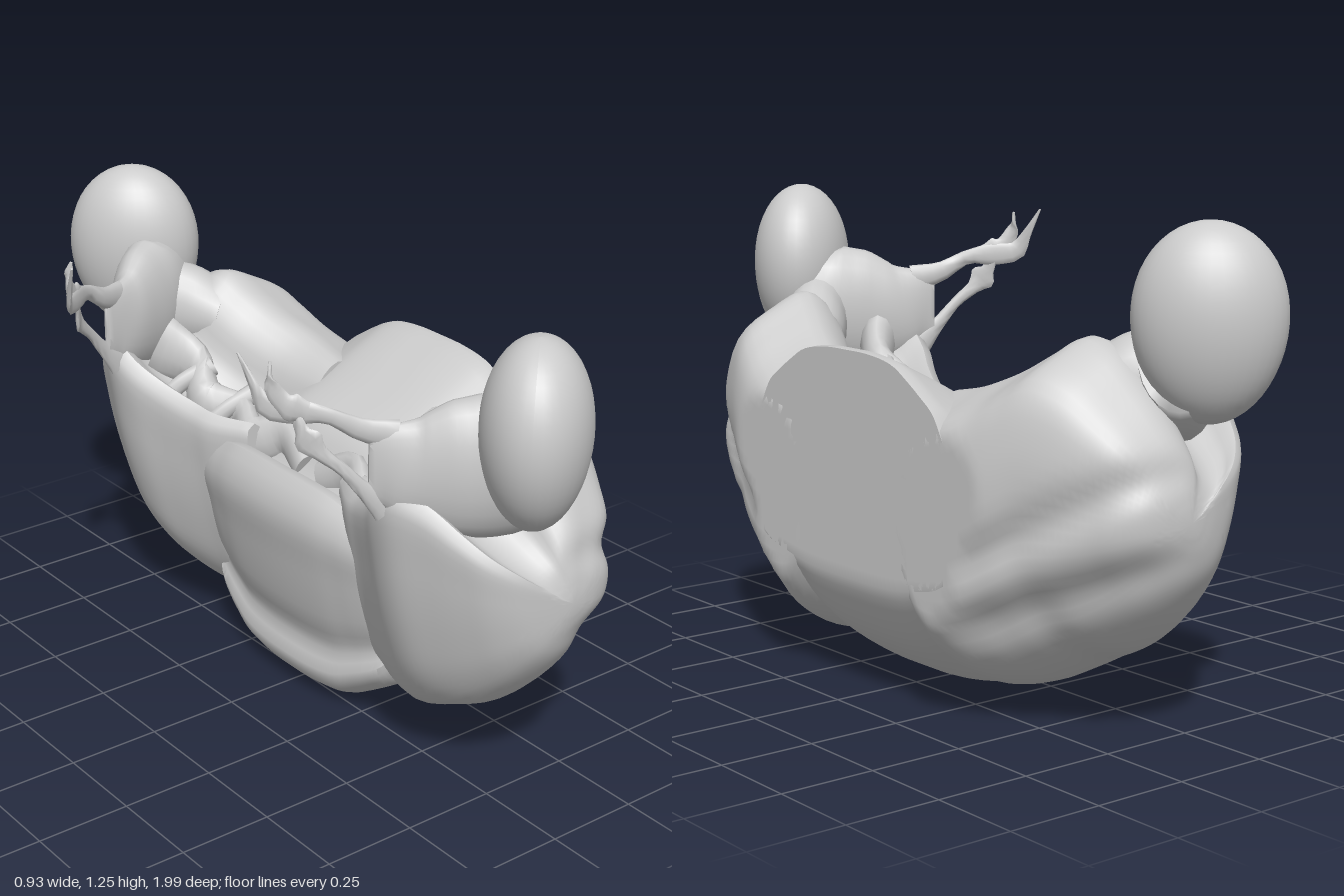
import * as THREE from 'three';
import { toCreasedNormals } from 'three/addons/utils/BufferGeometryUtils.js';

const FLAT_X = 0.46; // plane of the flat cut face
const V = (x, y, z) => new THREE.Vector3(x, y, z);
const material = new THREE.MeshStandardMaterial({ color: 0xcccccc, side: THREE.DoubleSide });

// Closed skin through a list of equally long rings, with capped ends
function loft(rings, crease = 0.7) {
  const n = rings[0].length, pos = [], idx = [];
  rings.forEach(r => r.forEach(p => pos.push(p.x, p.y, p.z)));
  for (let i = 0; i < rings.length - 1; i++)
    for (let j = 0; j < n; j++) {
      const a = i * n + j, b = i * n + (j + 1) % n;
      idx.push(a, b, a + n, b, b + n, a + n);
    }
  [0, rings.length - 1].forEach((k, end) => {
    const c = rings[k].reduce((s, p) => s.add(p), V(0, 0, 0)).divideScalar(n);
    const m = pos.length / 3;
    pos.push(c.x, c.y, c.z);
    for (let j = 0; j < n; j++) {
      const a = k * n + j, b = k * n + (j + 1) % n;
      idx.push(...(end ? [a, b, m] : [b, a, m]));
    }
  });
  // Turn the faces outward if the enclosed volume is negative
  const at = i => V(pos[3 * i], pos[3 * i + 1], pos[3 * i + 2]);
  let vol = 0;
  for (let i = 0; i < idx.length; i += 3) vol += at(idx[i]).dot(at(idx[i + 1]).cross(at(idx[i + 2])));
  if (vol < 0) idx.reverse();
  const g = new THREE.BufferGeometry();
  g.setAttribute('position', new THREE.Float32BufferAttribute(pos, 3));
  g.setIndex(idx);
  return toCreasedNormals(g, crease);
}

// Smooth closed outline from a few points
function outline(points, n) {
  const c = new THREE.CatmullRomCurve3(points.map(([x, y]) => V(x, y, 0)), true, 'centripetal');
  return c.getSpacedPoints(n).slice(0, n);
}

// Insert smooth in-between rings
function refine(rings, count) {
  const curves = rings[0].map((_, j) => new THREE.CatmullRomCurve3(rings.map(r => r[j])));
  return Array.from({ length: count + 1 }, (_, i) => curves.map(c => c.getPoint(i / count)));
}

// Tapering strand of oval section: stations are [x, y, z, halfHeight, halfThickness]
function strand(stations, s, steps = 16, sides = 12) {
  const path = new THREE.CatmullRomCurve3(stations.map(([x, y, z]) => V(x, y, z * s)));
  const size = new THREE.CatmullRomCurve3(stations.map(a => V(a[3], a[4], 0)));
  const rings = [];
  for (let i = 0; i <= steps; i++) {
    const p = path.getPoint(i / steps), t = path.getTangent(i / steps), r = size.getPoint(i / steps);
    const side = V(0, 1, 0).cross(t).normalize(), up = t.clone().cross(side);
    rings.push(Array.from({ length: sides }, (_, j) => {
      const a = j / sides * Math.PI * 2;
      return p.clone().addScaledVector(up, r.x * Math.cos(a)).addScaledVector(side, r.y * Math.sin(a));
    }));
  }
  return loft(rings, 1.2);
}

// Side lobe: one outline stretched to a box [z, xMin, xMax, yMin, yMax] at each station
function lobeGeometry(s) {
  const shape = outline([[-.23, .8], [-.215, .6], [-.17, .38], [-.11, .21], [-.03, .11], [.1, .07], [.22, .1],
    [.35, .2], [.44, .35], [.465, .5], [.465, .7], [.42, .85], [.3, .93], [.19, .97], [.1, .9],
    [.05, .77], [-.04, .72], [-.12, .74], [-.2, .82]], 72);
  const stations = [[.2, -.04, .46, .14, .8], [.3, -.1, .5, .08, .82], [.36, -.12, .5, .07, .84],
    [.45, -.16, .475, .09, .88], [.53, -.2, .45, .13, .93], [.6, -.21, .42, .17, .97],
    [.68, -.18, .385, .21, .94], [.76, -.14, .345, .28, .86], [.82, -.1, .31, .35, .79],
    [.865, -.04, .26, .42, .72], [.885, .03, .21, .48, .65], [.893, .09, .16, .53, .59]];
  const rings = refine(stations.map(([z, x0, x1, y0, y1]) => shape.map(p =>
    V(x0 + (p.x + .23) / .695 * (x1 - x0), y0 + (p.y - .07) / .9 * (y1 - y0), z))), 48);
  // Two shallow slanting folds on the outer side
  for (const p of rings.flat()) {
    const w = THREE.MathUtils.smoothstep(p.z, .3, .5) * THREE.MathUtils.smoothstep(p.x, .05, .25);
    let press = 0;
    for (const [y0, k] of [[.33, .6], [.2, .45]])
      press += .022 * w * Math.exp(-(((p.y - y0 - k * (p.z - .3)) / .05) ** 2));
    p.x = Math.min(p.x - press, FLAT_X);
    p.y -= press * (p.y - .55);
    p.z = (p.z - press * .5) * s;
  }
  return loft(rings, 0.9);
}

// Middle lobe with a rear bulge, a crevice and a raised rim on the flat face
function middleGeometry() {
  const shape = outline([[-.14, .57], [-.12, .42], [-.085, .26], [-.05, .16], [-.07, .08], [-.02, .02],
    [.06, 0], [.2, .03], [.35, .13], [.43, .24], [.47, .34], [.48, .6], [.48, .86], [.46, .9], [.36, .86],
    [.2, .77], [.09, .71], [.03, .62], [0, .58], [-.03, .62], [-.09, .66]], 80);
  const stations = [[0, 1, 1], [.1, 1, .995], [.19, 1, .96], [.25, .99, .89], [.3, .98, .82],
    [.35, .95, .74], [.39, .85, .6]];
  const all = [...stations.slice(1).reverse().map(([z, a, b]) => [-z, a, b]), ...stations];
  const rings = refine(all.map(([z, kx, ky]) => shape.map(p =>
    V(.18 + (p.x - .18) * (p.x < .18 ? kx * (1 - z * z) : 1), .45 + (p.y - .45) * ky, z))), 44);
  for (const p of rings.flat()) p.x = Math.min(p.x, FLAT_X);
  return loft(rings);
}

// Egg-shaped end bulb, a little narrower below
function bulbGeometry(s) {
  const g = new THREE.SphereGeometry(1, 36, 24), p = g.attributes.position;
  for (let i = 0; i < p.count; i++) {
    const y = p.getY(i), k = 1 + .06 * y;
    p.setXYZ(i, p.getX(i) * .183 * k, y * .237, p.getZ(i) * .133 * k);
  }
  g.computeVertexNormals();
  return g.rotateY(.76 * s).translate(.027, 1.012, .838 * s);
}

export function createModel() {
  const model = new THREE.Group();
  const add = (name, geometry, parent = model) => {
    const mesh = new THREE.Mesh(geometry, material);
    mesh.name = name;
    parent.add(mesh);
  };
  add('middleLobe', middleGeometry());

  for (const s of [1, -1]) {
    const side = new THREE.Group();
    side.name = s > 0 ? 'frontSide' : 'backSide';
    model.add(side);
    add('sideLobe', lobeGeometry(s), side);
    add('endBulb', bulbGeometry(s), side);

    // Web joining the bulb to the rear edge
    add('bulbStalk', strand([[.08, .94, .8, .14, .1], [.01, .9, .73, .18, .1], [-.07, .89, .675, .175, .08],
      [-.14, .89, .625, .14, .055], [-.2, .9, .59, .11, .03], [-.245, .9, .565, .085, .008]], s, 20, 24), side);
    // Shoulder filling the dip between bulb, web and side lobe
    add('shoulder', strand([[.16, .84, .6, .09, .09], [.1, .86, .67, .12, .09],
      [.04, .88, .73, .13, .08], [.03, .92, .8, .08, .06]], s, 16, 20), side);

    // Forked, curling fringe
    add('upperFringe', strand([[-.19, .98, .595, .04, .018], [-.26, 1.0, .555, .028, .012],
      [-.33, 1.04, .52, .02, .009], [-.39, 1.05, .47, .032, .008], [-.44, 1.06, .43, .028, .007],
      [-.455, 1.11, .4, .014, .006], [-.47, 1.18, .36, .003, .003]], s), side);
    add('fringeFork', strand([[-.37, 1.05, .49, .025, .008], [-.41, 1.07, .46, .025, .008],
      [-.435, 1.12, .44, .018, .007], [-.43, 1.17, .43, .004, .004]], s), side);
    add('lowerFringe', strand([[-.2, .79, .58, .04, .015], [-.26, .85, .565, .02, .01],
      [-.31, .91, .545, .015, .008], [-.36, .96, .515, .02, .007],
      [-.38, 1.0, .49, .02, .007], [-.39, 1.05, .47, .012, .006]], s), side);

    // Ragged tissue lining the crevice
    add('creviceFold', strand([[.03, .6, .04, .05, .03], [.05, .65, .15, .06, .03], [.01, .62, .24, .07, .04],
      [.03, .67, .33, .05, .03], [-.02, .68, .42, .07, .05], [0, .75, .5, .07, .04],
      [-.06, .8, .59, .1, .05]], s, 28), side);
    for (const [x, y, z] of [[-.04, .68, .35], [-.1, .73, .48]])
      add('crevicePillar', strand([[x - .03, y - .1, z + .03, .05, .03], [x + .02, y - .01, z, .025, .02],
        [x + .12, y + .04, z - .03, .03, .03]], s, 10, 10), side);
  }
  return model;
}
